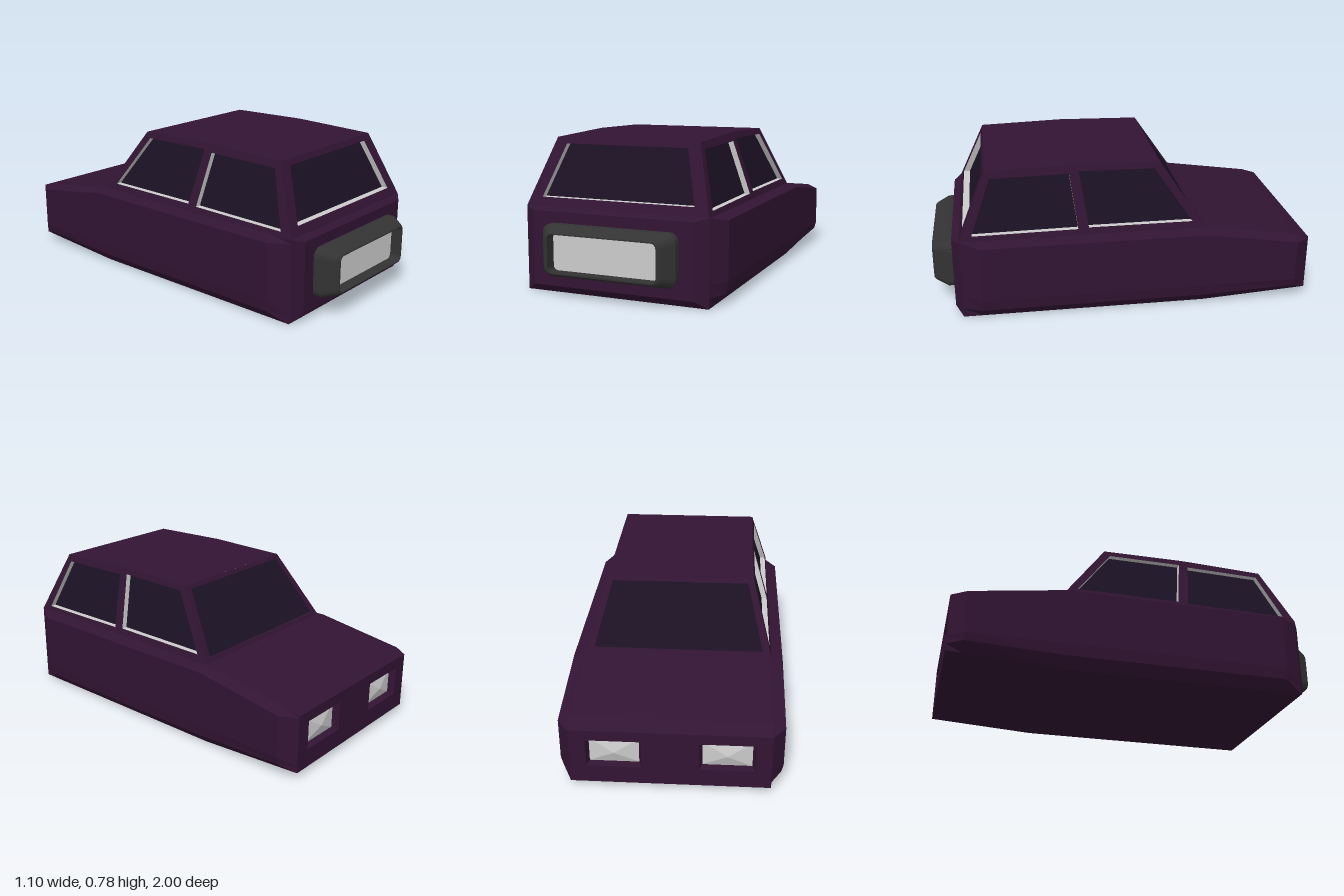
import * as THREE from 'three';

const material = (color) => new THREE.MeshStandardMaterial({ color, flatShading: true });

// Mesh from convex polygons, each listed counter-clockwise from outside
function polyMesh(name, polys, mat) {
  const pos = [];
  for (const p of polys)
    for (let i = 1; i < p.length - 1; i++) pos.push(...p[0], ...p[i], ...p[i + 1]);
  const geo = new THREE.BufferGeometry();
  geo.setAttribute('position', new THREE.Float32BufferAttribute(pos, 3));
  geo.computeVertexNormals();
  const mesh = new THREE.Mesh(geo, mat);
  mesh.name = name;
  return mesh;
}

// Quads joining two closed rings
const bridge = (a, b) => a.map((p, i) => {
  const j = (i + 1) % a.length;
  return [p, a[j], b[j], b[i]];
});
const loft = (rings) => rings.slice(1).flatMap((r, i) => bridge(rings[i], r));
const shift = (ring, d) => ring.map((p) => p.map((v, k) => v + d[k]));
const mirror = (ring) => ring.map(([x, y, z]) => [-x, y, z]).reverse();

export function createModel() {
  const car = new THREE.Group();
  car.name = 'car';
  const paint = material(0x321433);
  const glass = material(0x1b1124);
  const grey = material(0xcccccc);
  const dark = material(0x333333);

  // Lower body: half sections (x, y) from bottom to top, nose to tail
  const sections = [
    [-1, [[0.49, 0.035], [0.49, 0.07], [0.49, 0.11], [0.49, 0.325], [0.49, 0.335]]],
    [-0.92, [[0.49, 0.03], [0.54, 0.075], [0.55, 0.115], [0.55, 0.335], [0.49, 0.36]]],
    [-0.43, [[0.49, 0], [0.54, 0.055], [0.55, 0.115], [0.55, 0.41], [0.49, 0.43]]],
    [0.75, [[0.49, 0], [0.54, 0.055], [0.55, 0.115], [0.55, 0.41], [0.49, 0.43]]],
    [0.85, [[0.49, 0], [0.49, 0.05], [0.49, 0.115], [0.49, 0.41], [0.49, 0.43]]],
    [0.89, [[0.43, 0.04], [0.43, 0.06], [0.43, 0.115], [0.43, 0.4], [0.43, 0.415]]],
  ];
  const rings = sections.map(([z, half]) => {
    const right = half.map(([x, y]) => [x, y, z]);
    return [...right, ...mirror(right)];
  });
  car.add(polyMesh('body', [...loft(rings), rings[rings.length - 1]], paint));

  // Nose panel with two lamp openings
  const nose = new THREE.Shape(
    [[-0.49, 0.035], [0.49, 0.035], [0.49, 0.335], [-0.49, 0.335]].map((p) => new THREE.Vector2(...p)));
  const lamp = [[0.41, 0.13, -1], [0.14, 0.13, -1], [0.14, 0.28, -1], [0.41, 0.28, -1]];
  for (const ring of [lamp, mirror(lamp)]) {
    nose.holes.push(new THREE.Path(ring.map(([x, y]) => new THREE.Vector2(x, y))));
    // Tapered lamp recess with a faceted lens
    const cx = ring[0][0] > 0 ? 0.275 : -0.275;
    const deep = ring.map(([x, y]) => [cx + (x - cx) * 0.9, 0.205 + (y - 0.205) * 0.9, -0.965]);
    const lens = deep.map((p, i) => [p, deep[(i + 1) % 4], [cx, 0.2, -0.985]]);
    car.add(polyMesh('headlightRecess', bridge(ring, deep), paint));
    car.add(polyMesh('headlightLens', lens, grey));
  }
  const noseMesh = new THREE.Mesh(new THREE.ShapeGeometry(nose), paint);
  noseMesh.name = 'nosePanel';
  noseMesh.rotation.y = Math.PI;
  noseMesh.position.z = -1;
  car.add(noseMesh);

  // Cabin wall with a recessed window
  function windowPanel(name, outer, hole, depth, revealMat) {
    const inner = shift(hole, depth);
    const group = new THREE.Group();
    group.name = name;
    group.add(
      polyMesh('frame', bridge(outer, hole), paint),
      polyMesh('reveal', bridge(hole, inner), revealMat),
      polyMesh('glass', [inner], glass));
    car.add(group);
  }

  // Side windows, given as (z, y) on the sloping cabin side
  const onSide = (pts) => pts.map(([z, y]) => [0.49 - (y - 0.43) * 0.3, y, z]);
  const sideWindows = [
    ['rearSideWindow',
      [[0.85, 0.43], [0.21, 0.43], [0.25, 0.78], [0.705, 0.765]],
      [[0.785, 0.455], [0.24, 0.46], [0.275, 0.735], [0.68, 0.73]]],
    ['frontSideWindow',
      [[0.21, 0.43], [-0.43, 0.43], [-0.2, 0.77], [0.25, 0.78]],
      [[0.185, 0.465], [-0.36, 0.465], [-0.17, 0.74], [0.225, 0.745]]],
  ];
  for (const [name, o, h] of sideWindows) {
    const outer = onSide(o), hole = onSide(h);
    windowPanel(name, outer, hole, [-0.03, 0, 0], grey);
    windowPanel(name, mirror(outer), mirror(hole), [0.03, 0, 0], grey);
  }

  // Rear window and windscreen, given as half width and height
  const onEnd = (lower, upper, zAt, s) => [
    [-s * lower[0], lower[1]], [s * lower[0], lower[1]],
    [s * upper[0], upper[1]], [-s * upper[0], upper[1]],
  ].map(([x, y]) => [x, y, zAt(y)]);
  const rearZ = (y) => 0.85 - (y - 0.43) * 0.433;
  const screenZ = (y) => -0.43 + (y - 0.43) * 0.676;
  windowPanel('rearWindow',
    onEnd([0.49, 0.43], [0.39, 0.765], rearZ, 1),
    onEnd([0.41, 0.475], [0.33, 0.735], rearZ, 1), [0, 0, -0.035], grey);
  windowPanel('windscreen',
    onEnd([0.49, 0.43], [0.388, 0.77], screenZ, -1),
    onEnd([0.445, 0.45], [0.36, 0.75], screenZ, -1), [0, 0, 0.01], paint);

  // Slightly crowned roof
  const roof = [[0.39, 0.765, 0.705], [0.385, 0.78, 0.25], [0.388, 0.77, -0.2]];
  const roofPolys = [0, 1].map((i) => {
    const [a, b] = [roof[i], roof[i + 1]];
    return [[-a[0], a[1], a[2]], a, b, [-b[0], b[1], b[2]]];
  });
  car.add(polyMesh('roof', roofPolys, paint));

  // Rear housing: rounded rectangles swept out, then back into the opening
  const roundRing = (w, h, r, z) => {
    const pts = [];
    [[1, -1], [1, 1], [-1, 1], [-1, -1]].forEach(([sx, sy], q) => {
      for (let k = 0; k <= 4; k++) {
        const a = (q - 1 + k / 4) * Math.PI / 2;
        pts.push([sx * (w - r) + r * Math.cos(a), 0.23 + sy * (h - r) + r * Math.sin(a), z]);
      }
    });
    return pts;
  };
  const housing = [
    roundRing(0.355, 0.13, 0.045, 0.88), roundRing(0.355, 0.13, 0.045, 0.925),
    roundRing(0.31, 0.107, 0.035, 0.99), roundRing(0.295, 0.1, 0.03, 1),
    roundRing(0.287, 0.094, 0.025, 1), roundRing(0.287, 0.094, 0.025, 0.94),
  ];
  car.add(polyMesh('rearHousing', loft(housing), dark));
  car.add(polyMesh('rearPlate', [housing[5]], grey));

  return car;
}
